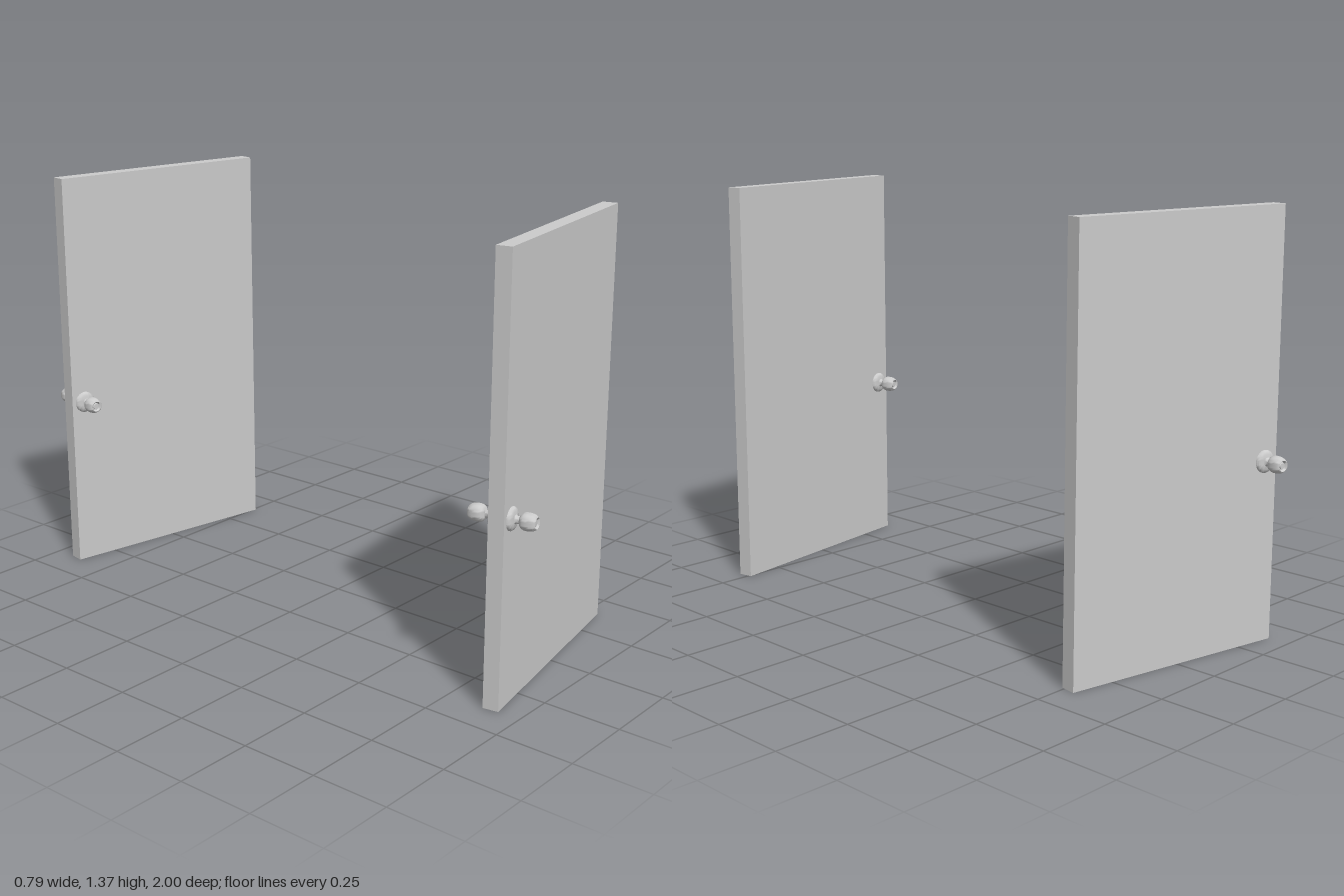
import * as THREE from 'three';
import { toCreasedNormals } from 'three/addons/utils/BufferGeometryUtils.js';

const WIDTH = 0.79, HEIGHT = 1.37, THICK = 0.05;
const ANGLE = THREE.MathUtils.degToRad(10);
const material = new THREE.MeshStandardMaterial({ color: 0xcccccc });

// Turned knob: rosette, neck and rounded grip with a dished end; base at y = 0
function knobGeometry() {
  const profile = [
    [0, 0], [0.036, 0], [0.036, 0.004], [0.032, 0.009], [0.024, 0.012], [0.014, 0.014],
    [0.011, 0.018], [0.011, 0.028],
    [0.017, 0.030], [0.023, 0.035], [0.0265, 0.043], [0.027, 0.053], [0.026, 0.063],
    [0.0235, 0.072], [0.020, 0.078], [0.017, 0.080],
    [0.014, 0.077], [0.012, 0.073], [0.010, 0.073], [0.009, 0.076], [0, 0.077],
  ].map(([r, y]) => new THREE.Vector2(r, y));
  const geometry = toCreasedNormals(new THREE.LatheGeometry(profile, 32), 0.7);
  return geometry.rotateX(Math.PI / 2);
}

// Door leaf with a knob on each face
function createDoor(name, knob) {
  const door = new THREE.Group();
  door.name = name;

  const panel = new THREE.Mesh(new THREE.BoxGeometry(WIDTH, HEIGHT, THICK), material);
  panel.name = 'doorPanel';
  panel.position.y = HEIGHT / 2;
  door.add(panel);

  for (const side of [1, -1]) {
    const mesh = new THREE.Mesh(knob, material);
    mesh.name = side > 0 ? 'frontKnob' : 'backKnob';
    mesh.position.set(-0.346, 0.583, side * THICK / 2);
    if (side < 0) mesh.rotation.y = Math.PI;
    door.add(mesh);
  }
  return door;
}

export function createModel() {
  const model = new THREE.Group();
  model.name = 'doorPair';
  const knob = knobGeometry();

  // Two leaves facing each other, swung by opposite angles
  for (const side of [1, -1]) {
    const door = createDoor(side > 0 ? 'frontDoor' : 'backDoor', knob);
    door.position.z = side * 0.834;
    door.rotation.y = side * ANGLE;
    model.add(door);
  }
  return model;
}
